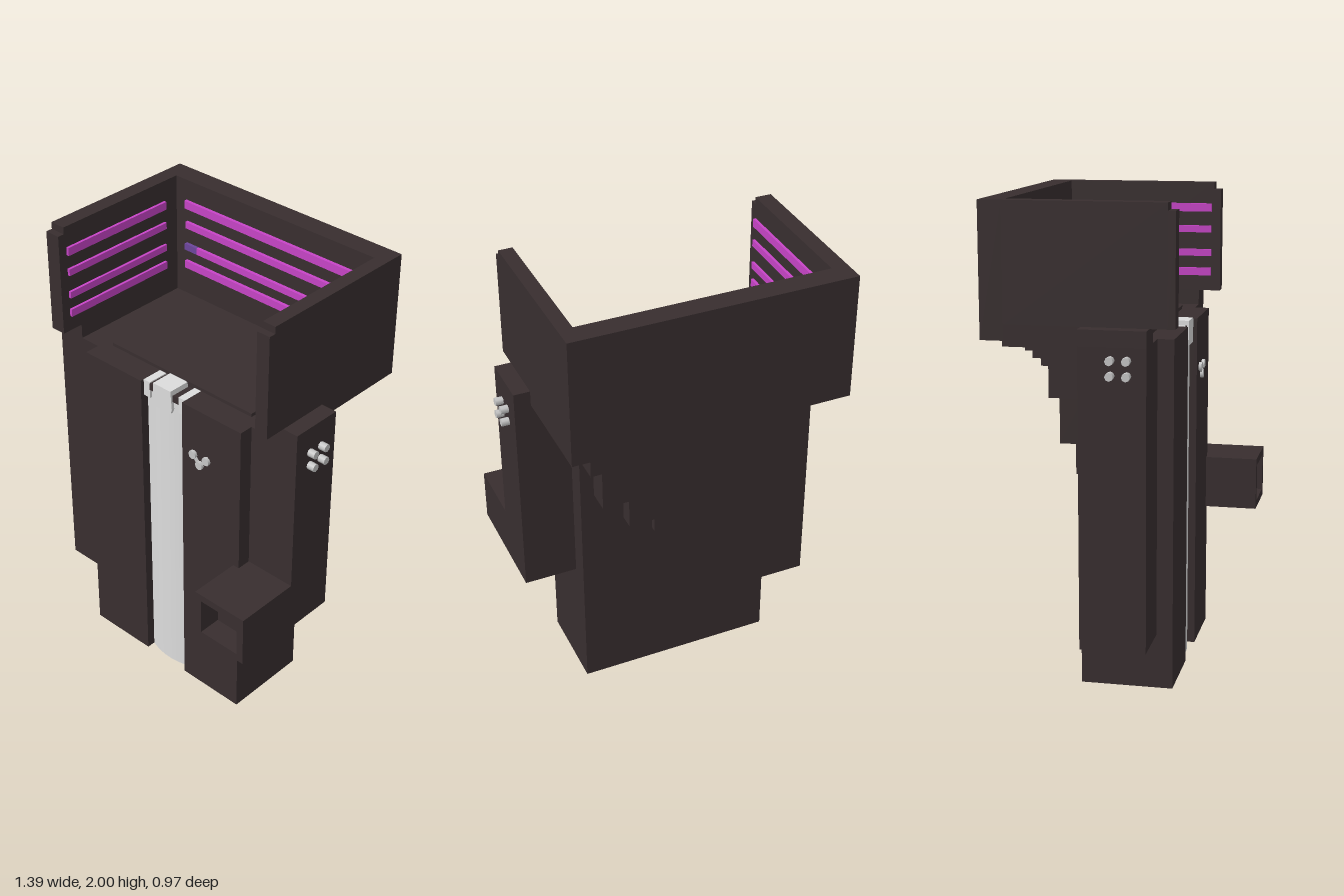
import * as THREE from 'three';

const flat = (name, color, side = THREE.FrontSide) => {
  const m = new THREE.MeshStandardMaterial({ color, side });
  m.name = name;
  return m;
};

export function createModel() {
  const model = new THREE.Group();
  model.name = 'hoodedCoat';
  const cloth = flat('dark cloth', 0x382e2f);
  const magenta = flat('magenta glow', 0xc644c6);
  const purple = flat('purple glow', 0x6c459c);
  const white = flat('pale shirt', 0xdcdcdc, THREE.DoubleSide);
  const metal = flat('silver', 0xc6c6c6);

  const add = (name, geo, mat, parent = model) => {
    const m = new THREE.Mesh(geo, mat);
    m.name = name;
    parent.add(m);
    return m;
  };
  // box given by its low and high limits on each axis
  const box = (name, [x0, x1], [y0, y1], [z0, z1], mat = cloth, parent = model) => {
    const g = new THREE.BoxGeometry(x1 - x0, y1 - y0, z1 - z0);
    g.translate((x0 + x1) / 2, (y0 + y1) / 2, (z0 + z1) / 2);
    return add(name, g, mat, parent);
  };
  // rectangular rim with an opening, extruded along +z
  const rim = (w, h, t, depth) => {
    const rect = (C, a, b) => new C([[-a, -b], [a, -b], [a, b], [-a, b]].map(p => new THREE.Vector2(...p)));
    const s = rect(THREE.Shape, w / 2, h / 2);
    s.holes.push(rect(THREE.Path, w / 2 - t, h / 2 - t));
    return new THREE.ExtrudeGeometry(s, { depth, bevelEnabled: false });
  };
  // downward-facing hem around an opening
  const hem = (name, [x0, x1], [z0, z1], y, t, depth) => {
    const g = rim(x1 - x0, z1 - z0, t, depth);
    g.rotateX(-Math.PI / 2);
    g.translate((x0 + x1) / 2, y, (z0 + z1) / 2);
    add(name, g, cloth);
  };

  // coat body, with a hollow hem and two front panels
  hem('coatHem', [-0.435, 0.43], [-0.125, 0.19], 0, 0.05, 0.08);
  box('coatBody', [-0.435, 0.43], [0.08, 1.42], [-0.125, 0.145]);
  box('coatFrontCore', [-0.435, 0.43], [0.08, 1.36], [0.145, 0.19]);
  box('frontPanelRight', [-0.435, -0.115], [0, 1.455], [0.145, 0.257]);
  box('frontPanelLeft', [0.115, 0.43], [0, 1.455], [0.145, 0.257]);

  // shirt front, gently bulging
  const shirt = new THREE.PlaneGeometry(0.23, 1.42, 10, 1);
  const p = shirt.attributes.position;
  for (let i = 0; i < p.count; i++) {
    const u = p.getX(i) / 0.115;
    p.setZ(i, 0.24 - 0.022 * u * u);
  }
  shirt.translate(0, 0.71, 0);
  shirt.computeVertexNormals();
  add('shirtFront', shirt, white);

  // collar and neck knot
  const collar = new THREE.Group();
  collar.name = 'collar';
  model.add(collar);
  for (const s of [-1, 1]) {
    const ends = s < 0 ? [-0.115, -0.08] : [0.08, 0.115];
    box('collarSide', ends, [1.38, 1.455], [0.145, 0.24], white, collar);
    box('collarNotch', s < 0 ? [-0.08, -0.05] : [0.05, 0.08], [1.42, 1.45], [0.15, 0.242], cloth, collar);
  }
  const knotShape = new THREE.Shape([[-0.045, 1.365], [0.045, 1.365], [0.052, 1.385], [0.045, 1.47], [-0.052, 1.47], [-0.055, 1.39]]
    .map(q => new THREE.Vector2(...q)));
  const knot = new THREE.ExtrudeGeometry(knotShape, { depth: 0.1, bevelEnabled: false });
  knot.translate(0, 0, 0.15);
  add('neckKnot', knot, white, collar);

  // shoulder floor with a raised inner panel
  box('shoulderSlab', [-0.53, 0.53], [1.42, 1.455], [-0.415, 0.145]);
  box('neckPanel', [-0.39, 0.385], [1.455, 1.47], [-0.26, 0.145]);

  // stepped folds down the back: half width, bottom, top, rear depth
  [[0.43, 1.39, 1.42, -0.35], [0.43, 1.36, 1.39, -0.32], [0.43, 1.33, 1.36, -0.285], [0.43, 1.2, 1.33, -0.255],
    [0.37, 1.0, 1.2, -0.225], [0.24, 0.84, 1.0, -0.19], [0.11, 0.745, 0.84, -0.155]]
    .forEach(([w, y0, y1, z]) => box('backFold', [-w, w], [y0, y1], [z, -0.12]));

  // open-fronted, open-topped hood
  box('hoodBack', [-0.6, 0.59], [1.455, 2], [-0.485, -0.39]);
  for (const s of [-1, 1]) {
    const span = s < 0 ? [-0.6, -0.53] : [0.53, 0.59];
    box('hoodSide', span, [1.52, 2], [-0.39, 0.26]);
    box('hoodSideLower', span, [1.455, 1.52], [-0.39, -0.03]);
    box('hoodTrim', span, [1.52, 1.97], [0.26, 0.29]);
  }

  // glowing lines inside the hood: height, thickness, left end, colour change, right end
  [[1.89, 0.036, -0.47, 0.43, 0.5], [1.795, 0.03, -0.465, 0.43, 0.5],
    [1.69, 0.03, -0.47, -0.4, 0.49], [1.605, 0.034, -0.47, 0.45, 0.5]].forEach(([y, h, a, b, c]) => {
    const ys = [y - h / 2, y + h / 2], first = b < 0 ? purple : magenta;
    box('backGlowLine', [a, b], ys, [-0.39, -0.375], first);
    box('backGlowLine', [b, c], ys, [-0.39, -0.375], first === purple ? magenta : purple);
    box('sideGlowLine', [-0.531, -0.518], ys, [-0.315, 0.25], magenta);
    box('sideGlowLine', [0.516, 0.531], ys, [-0.315, 0.25], magenta);
  });

  // straight right sleeve with an open cuff
  box('rightSleeve', [-0.66, -0.43], [0.31, 1.455], [-0.08, 0.19]);
  hem('rightCuff', [-0.66, -0.43], [-0.08, 0.19], 0.23, 0.04, 0.08);
  box('rightShoulder', [-0.66, -0.53], [1.455, 1.52], [-0.08, 0.19]);

  // bent left sleeve with a forward open cuff
  box('leftSleeve', [0.43, 0.66], [0.55, 1.455], [-0.035, 0.195]);
  box('leftShoulder', [0.53, 0.66], [1.455, 1.52], [-0.035, 0.195]);
  box('leftForearm', [0.4, 0.66], [0.55, 0.78], [0.19, 0.385]);
  const cuff = rim(0.26, 0.23, 0.033, 0.1);
  cuff.translate(0.53, 0.665, 0.385);
  add('leftCuff', cuff, cloth);

  // shoulder studs
  for (const s of [-1, 1]) for (const y of [1.345, 1.405]) for (const z of [0.05, 0.115]) {
    const g = new THREE.CylinderGeometry(0.017, 0.017, 0.04, 8);
    g.rotateZ(Math.PI / 2);
    add('shoulderStud', g, metal).position.set(s * 0.673, y, z);
  }

  // three-bead brooch on the left chest
  const brooch = new THREE.Group();
  brooch.name = 'brooch';
  model.add(brooch);
  for (const [x, y] of [[0.18, 1.237], [0.252, 1.237], [0.216, 1.2]]) {
    const g = new THREE.CylinderGeometry(0.019, 0.019, 0.016, 8);
    g.rotateX(Math.PI / 2);
    add('broochBead', g, metal, brooch).position.set(x, y, 0.262);
  }
  for (const s of [-1, 1]) {
    const link = add('broochLink', new THREE.BoxGeometry(0.05, 0.012, 0.012), metal, brooch);
    link.position.set(0.216 + s * 0.018, 1.218, 0.26);
    link.rotation.z = s * Math.PI / 4;
  }
  return model;
}
